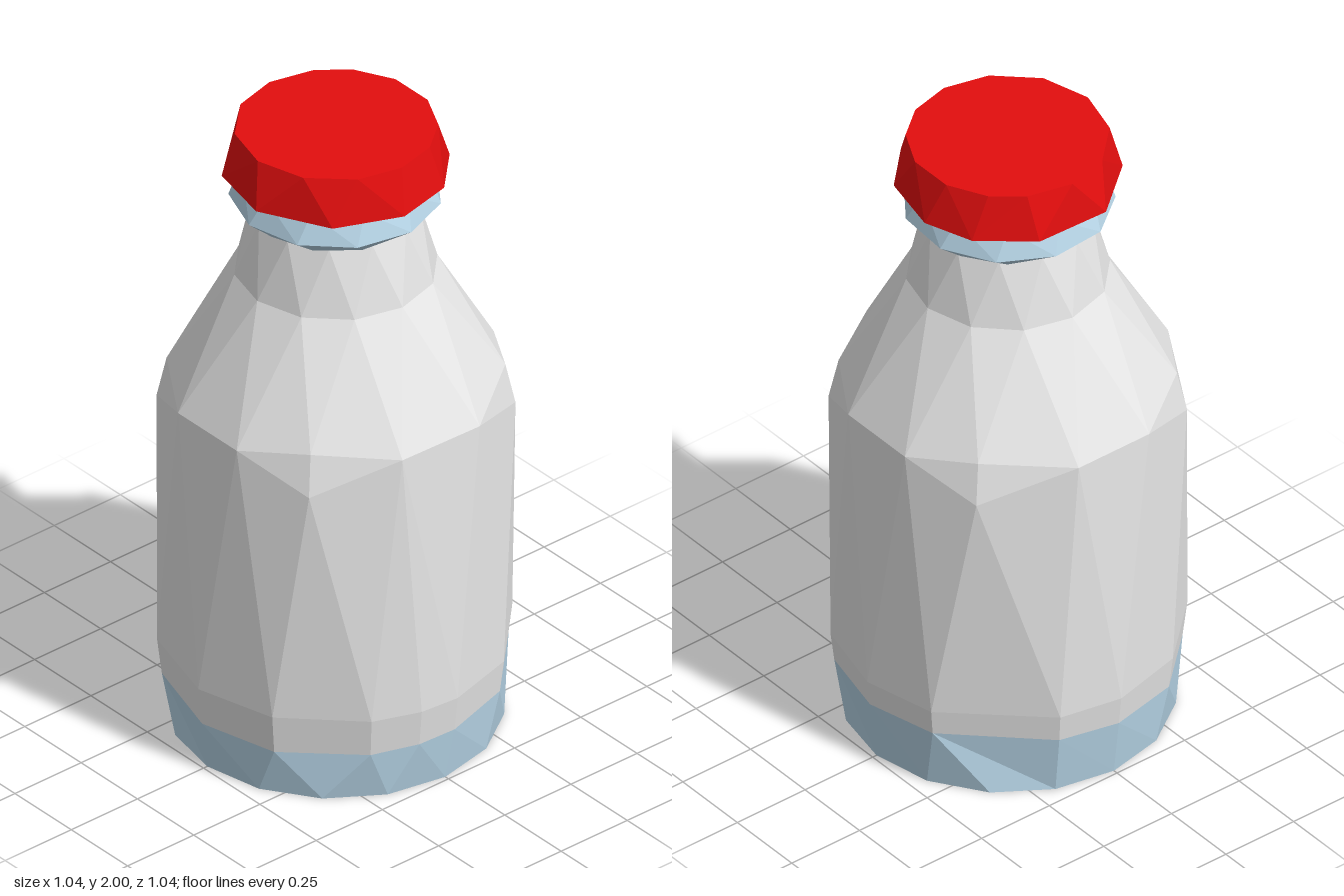
import * as THREE from 'three';

const D = THREE.MathUtils.degToRad;
const spread = (n, start = 0) => Array.from({ length: n }, (_, i) => start + (i * 360) / n);

// A ring of points round the y axis; radius and height may vary with the index
const ring = (angles, r, y) => angles.map((deg, i) => {
  const a = D(deg);
  const radius = typeof r === 'function' ? r(i, a) : r;
  const height = typeof y === 'function' ? y(i, a) : y;
  return { a, p: new THREE.Vector3(radius * Math.sin(a), height, radius * Math.cos(a)) };
});

// Joins neighbouring rings with triangles, even if their counts differ
function loft(rings, { top = false, bottom = false } = {}) {
  const out = [];
  const tri = (a, b, c) => {
    const area = b.clone().sub(a).cross(c.clone().sub(a)).length();
    if (area > 1e-7) out.push(...a.toArray(), ...b.toArray(), ...c.toArray());
  };
  const at = (R, i) => R[i % R.length].p;
  const angle = (R, i) => R[i % R.length].a + 2 * Math.PI * Math.floor(i / R.length);
  for (let k = 0; k + 1 < rings.length; k++) {
    const L = rings[k], U = rings[k + 1];
    let i = 0, j = 0;
    while (i < L.length || j < U.length) {
      const lower = j >= U.length || (i < L.length && angle(L, i + 1) <= angle(U, j + 1));
      if (lower) { tri(at(L, i), at(L, i + 1), at(U, j)); i++; }
      else { tri(at(U, j + 1), at(U, j), at(L, i)); j++; }
    }
  }
  const disc = (R, up) => {
    const c = new THREE.Vector3(0, R[0].p.y, 0);
    R.forEach((v, i) => up ? tri(c, v.p, at(R, i + 1)) : tri(c, at(R, i + 1), v.p));
  };
  if (top) disc(rings[rings.length - 1], true);
  if (bottom) disc(rings[0], false);
  const g = new THREE.BufferGeometry();
  g.setAttribute('position', new THREE.Float32BufferAttribute(out, 3));
  g.computeVertexNormals();
  return g;
}

export function createModel() {
  const group = new THREE.Group();
  const material = (name, color) => {
    const m = new THREE.MeshStandardMaterial({ color, flatShading: true });
    m.name = name;
    return m;
  };
  const milk = material('milk white', 0xe6e6e6);
  const glass = material('pale blue glass', 0xb6d4e6);
  const red = material('red cap', 0xe30e0e);
  const add = (name, geometry, mat) => {
    const mesh = new THREE.Mesh(geometry, mat);
    mesh.name = name;
    group.add(mesh);
  };

  // Glass base, with a slightly uneven milk line
  const bodyAngles = [2, 28, 62, 90, 116, 158, 180, 207, 238, 270, 299, 331, 348];
  const lineY = (i, a) => 0.175 + 0.02 * Math.sin(a) - 0.01 * Math.cos(a);
  const milkLine = ring(bodyAngles, (i, a) => 0.487 + 0.118 * lineY(i, a), lineY);
  add('glassBase', loft([ring(spread(16), 0.486, 0), milkLine], { bottom: true }), glass);

  // Milk body: the four diagonal shoulder corners are chamfered downwards
  const shoulder = [15, 49, 75, 105, 131, 165, 195, 226, 255, 285, 311, 342];
  const diagonal = (i) => i % 3 === 1;
  add('milkBody', loft([
    milkLine,
    ring(bodyAngles, 0.52, 0.28),
    ring(shoulder, (i) => (diagonal(i) ? 0.517 : 0.503), (i) => (diagonal(i) ? 1.05 : 1.15)),
    ring(shoulder, (i) => (diagonal(i) ? 0.488 : 0.503), (i) => (diagonal(i) ? 1.18 : 1.15)),
    ring(spread(12), 0.297, 1.52),
    ring(spread(12, 15), 0.245, 1.73),
  ]), milk);

  // Glass lip under the cap
  add('glassLip', loft([
    ring(spread(11, 10), 0.25, 1.725),
    ring(spread(11, 4), 0.31, 1.775),
    ring(spread(11, 10), 0.272, 1.865),
  ], { bottom: true }), glass);

  // Flared cap
  const capAngles = [-4, 29, 60, 95, 123, 157, 199, 239, 276, 318];
  add('cap', loft([
    ring(capAngles, 0.333, 1.86),
    ring([0, 26, 50, 76, 104, 130, 152, 180, 208, 239, 270, 301, 332], 0.295, 2),
  ], { top: true, bottom: true }), red);

  return group;
}
